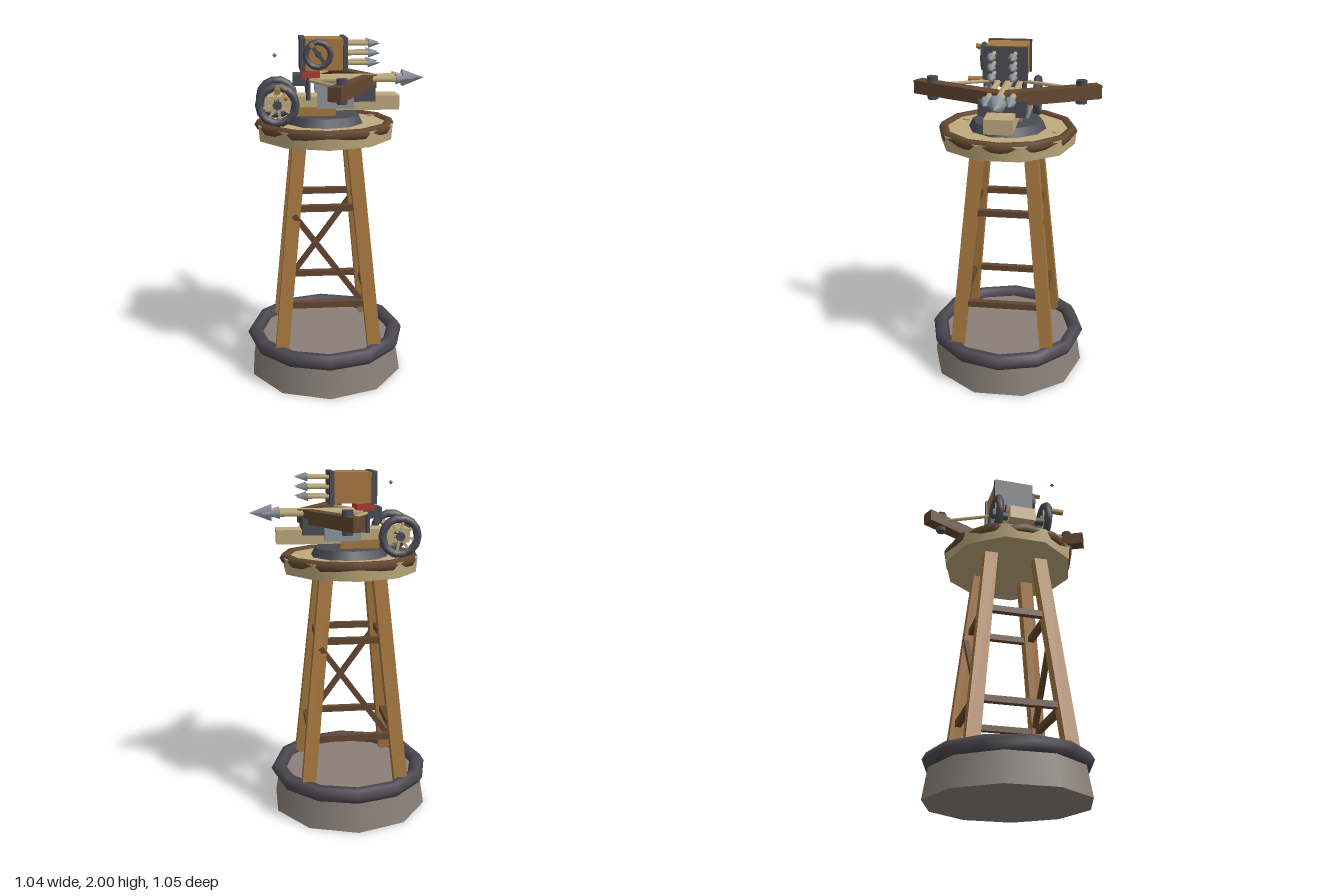
import * as THREE from 'three';

const paint = (color) => new THREE.MeshStandardMaterial({ color });
const stone = paint(0x8a8078), iron = paint(0x4a4c54), ring = paint(0x4b4850), steel = paint(0x8f959d);
const wood = paint(0xa8783f), darkWood = paint(0x644730), paleWood = paint(0xbfaa7d);
const copper = paint(0xc06a3a), red = paint(0xb03a2c);
const CX = -0.05; // tower axis

export function createModel() {
  const model = new THREE.Group();
  let target = model;
  const V = (x, y, z) => new THREE.Vector3(x, y, z);

  const add = (name, geometry, material, x = 0, y = 0, z = 0) => {
    const mesh = new THREE.Mesh(geometry, material);
    mesh.name = name;
    mesh.position.set(x, y, z);
    target.add(mesh);
    return mesh;
  };
  const part = (name, build, x = 0, y = 0, z = 0) => {
    const group = new THREE.Group(), outer = target;
    group.name = name;
    group.position.set(x, y, z);
    outer.add(group);
    target = group;
    build();
    target = outer;
    return group;
  };
  // box given by its limits on each axis
  const block = (name, mat, x0, x1, y0, y1, z0, z1) =>
    add(name, new THREE.BoxGeometry(x1 - x0, y1 - y0, z1 - z0), mat, (x0 + x1) / 2, (y0 + y1) / 2, (z0 + z1) / 2);
  const between = (name, geometry, mat, a, b) => {
    const mesh = add(name, geometry, mat);
    mesh.position.copy(a).add(b).multiplyScalar(0.5);
    mesh.quaternion.setFromUnitVectors(V(0, 1, 0), b.clone().sub(a).normalize());
    return mesh;
  };
  const rod = (name, mat, a, b, r, sides = 6) =>
    between(name, new THREE.CylinderGeometry(r, r, a.distanceTo(b), sides), mat, a, b);
  const beam = (name, mat, a, b, w) =>
    between(name, new THREE.BoxGeometry(w, a.distanceTo(b), w), mat, a, b);
  const hoop = (name, mat, major, tube, x, y, z, segments = 12) =>
    add(name, new THREE.TorusGeometry(major, tube, 6, segments), mat, x, y, z);

  // stone base
  add('stoneBase', new THREE.CylinderGeometry(0.435, 0.47, 0.21, 10), stone, CX, 0.105, 0);
  hoop('baseRing', ring, 0.431, 0.046, CX, 0.215, 0).rotation.x = Math.PI / 2;

  // sloping legs and braces
  const legOffset = (y) => 0.268 - 0.0996 * (y - 0.255);
  part('towerFrame', () => {
    for (const sx of [-1, 1]) for (const sz of [-1, 1]) {
      const geometry = new THREE.BoxGeometry(0.077, 1.26, 0.077);
      geometry.translate(0, 0.83, 0);
      const p = geometry.attributes.position;
      for (let i = 0; i < p.count; i++) {
        const d = legOffset(p.getY(i));
        p.setXYZ(i, p.getX(i) + sx * d, p.getY(i), p.getZ(i) + sz * d);
      }
      geometry.computeVertexNormals();
      add('leg', geometry, wood);
    }
    for (const y of [0.497, 1.063]) {
      const d = legOffset(y);
      for (const s of [-1, 1]) {
        block('crossRail', darkWood, -d, d, y - 0.018, y + 0.018, s * d - 0.018, s * d + 0.018);
        block('sideRail', darkWood, s * d - 0.018, s * d + 0.018, y - 0.018, y + 0.018, -d, d);
      }
    }
    for (const s of [-1, 1])
      beam('diagonalBrace', darkWood, V(-s * 0.19, 1.035, s * 0.217), V(s * 0.19, 0.51, s * 0.217), 0.03);
  }, CX);

  // platform with rim, floor pegs and turntable
  part('platform', () => {
    add('deck', new THREE.CylinderGeometry(0.395, 0.388, 0.085, 10), paleWood, 0, 1.481, 0);
    hoop('deckRim', darkWood, 0.37, 0.03, 0, 1.513, 0).rotation.x = Math.PI / 2;
    for (const [x, z, turn] of [[-0.118, 0.26, 1.3], [0.288, -0.168, -1], [0.075, -0.283, -0.6], [-0.246, -0.104, 0.6]])
      add('deckPeg', new THREE.BoxGeometry(0.042, 0.01, 0.021), paleWood, x, 1.526, z).rotation.y = turn;
    add('turntable', new THREE.CylinderGeometry(0.2, 0.225, 0.05, 10), iron, 0, 1.546, 0);
  }, CX);

  // carriage
  block('pedestal', wood, -0.21, 0.01, 1.56, 1.62, -0.085, 0.085);
  block('stock', paleWood, -0.388, 0.368, 1.6, 1.68, -0.077, 0.077);
  block('frontHousing', iron, 0.06, 0.225, 1.655, 1.745, -0.128, 0.128);
  for (const s of [-1, 1])
    block('sidePlate', steel, -0.1, 0.105, 1.62, 1.745, s * 0.128 - 0.007, s * 0.128 + 0.007);
  block('rearLatch', iron, -0.228, -0.13, 1.735, 1.8, -0.058, 0.058);
  block('launcherPad', red, -0.18, -0.08, 1.785, 1.82, -0.1, 0.1);
  for (const s of [-1, 1]) rod('launcherPost', iron, V(-0.145, 1.66, s * 0.085), V(-0.145, 1.83, s * 0.085), 0.014);

  // wheels on an axle
  rod('axle', iron, V(-0.318, 1.645, -0.15), V(-0.318, 1.645, 0.15), 0.024, 8);
  for (const s of [-1, 1]) part('wheel', () => {
    hoop('tyre', iron, 0.1, 0.023, 0, 0, 0, 14);
    for (let i = 0; i < 4; i++) {
      const a = (i * Math.PI) / 4 + 0.2, x = 0.095 * Math.cos(a), y = 0.095 * Math.sin(a);
      beam('spoke', paleWood, V(-x, -y, 0), V(x, y, 0), 0.014);
    }
    rod('hub', iron, V(0, 0, -0.025), V(0, 0, 0.025), 0.026, 8);
  }, -0.318, 1.645, s * 0.147);
  rod('wheelHandle', wood, V(-0.318, 1.735, 0.15), V(-0.318, 1.735, 0.27), 0.017, 8);

  // bow: arms, end bolts and string
  for (const s of [-1, 1]) {
    const dx = -0.247, dz = s * 0.51;
    const arm = add('bowArm', new THREE.BoxGeometry(0.567, 0.075, 0.074), darkWood, 0.0885, 1.752, dz / 2);
    arm.rotation.y = Math.atan2(-dz, dx);
    add('bowBolt', new THREE.CylinderGeometry(0.031, 0.031, 0.13, 6), iron, 0.013, 1.755, s * 0.415);
    rod('bowString', paleWood, V(0.01, 1.77, s * 0.4), V(-0.18, 1.77, 0), 0.01);
  }

  // arrows pointing along +x
  const arrow = (name, x0, xHead, xTip, y, z, shaft, head) => part(name, () => {
    rod('shaft', paleWood, V(x0, 0, 0), V(xHead + 0.01, 0, 0), shaft);
    const tip = add('head', new THREE.ConeGeometry(head, xTip - xHead, 6), steel, (xHead + xTip) / 2);
    tip.rotation.z = -Math.PI / 2;
  }, 0, y, z);
  arrow('mainBolt', -0.18, 0.39, 0.517, 1.77, 0, 0.026, 0.052);
  for (const s of [-1, 1]) {
    arrow('sideBolt', -0.1, 0.345, 0.448, 1.77, s * 0.063, 0.018, 0.031);
    for (const y of [1.86, 1.913, 1.966]) arrow('volleyArrow', 0.03, 0.19, 0.258, y, s * 0.057, 0.012, 0.025);
  }

  // volley launcher box with crank
  block('launcherBox', wood, -0.165, 0.05, 1.825, 1.995, -0.111, 0.111);
  block('launcherBackPlate', iron, -0.19, -0.16, 1.82, 2, -0.122, 0.122);
  block('launcherFrontPlate', iron, 0.046, 0.072, 1.82, 2, -0.122, 0.122);
  part('crank', () => {
    hoop('crankRing', iron, 0.068, 0.016, 0, 0, 0);
    beam('crankBar', iron, V(-0.042, 0.055, 0), V(0.042, -0.055, 0), 0.022);
    rod('crankHub', iron, V(0, 0, -0.03), V(0, 0, 0.015), 0.018, 8);
    rod('crankHandle', wood, V(-0.036, 0.052, -0.01), V(-0.036, 0.052, 0.052), 0.014);
  }, -0.092, 1.914, 0.135);

  // floating sparks
  for (const [x, y, z] of [[-0.327, 1.92, 0.205], [-0.277, 1.735, 0.19], [-0.272, 1.683, 0.178]])
    add('spark', new THREE.OctahedronGeometry(0.013), copper, x, y, z);

  return model;
}
